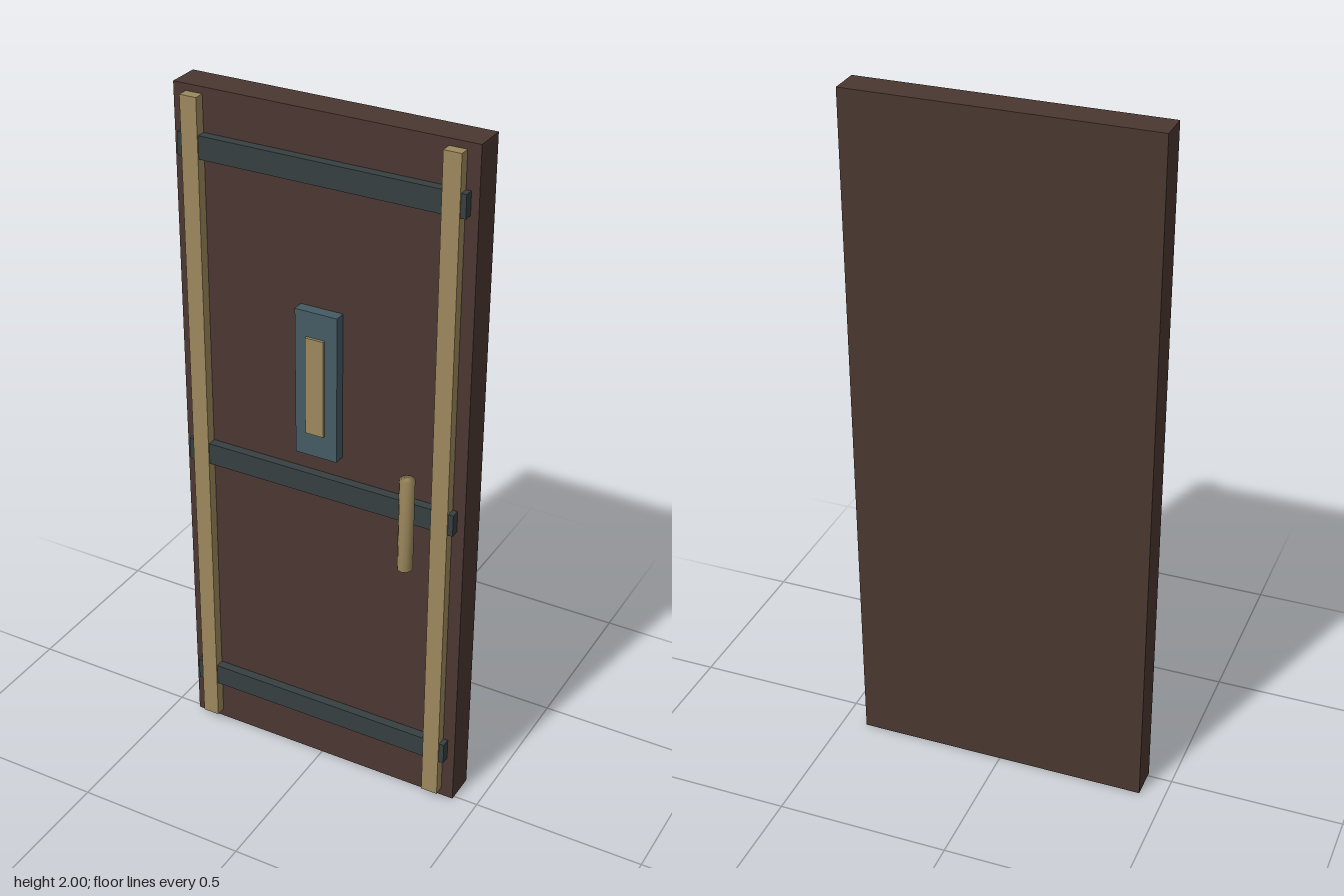
import * as THREE from 'three';
import { mergeVertices } from 'three/addons/utils/BufferGeometryUtils.js';

const material = (name, color) => {
  const m = new THREE.MeshStandardMaterial({ color });
  m.name = name;
  return m;
};

export function createModel() {
  const door = new THREE.Group();
  door.name = 'door';

  const wood = material('darkWood', 0x4a3730);
  const iron = material('darkIron', 0x373f41);
  const steel = material('blueSteel', 0x455a63);
  const brass = material('brass', 0x9c885c);

  const add = (name, geometry, mat, x, y, z) => {
    const mesh = new THREE.Mesh(geometry, mat);
    mesh.name = name;
    mesh.position.set(x, y, z);
    door.add(mesh);
  };

  // Box given by its centre in x and y, and its back and front in z
  const block = (name, mat, x, y, w, h, back, front) =>
    add(name, new THREE.BoxGeometry(w, h, front - back), mat, x, y, (back + front) / 2);

  const face = 0.011; // front surface of the slab

  block('slab', wood, 0, 1, 0.856, 2, -0.081, face);

  // Horizontal straps
  [['lower', 0.174], ['middle', 0.943], ['upper', 1.847]].forEach(([place, y]) =>
    block(place + 'Strap', iron, 0, y, 0.812, 0.064, face, 0.037));

  // Vertical trim rails
  [['right', -1], ['left', 1]].forEach(([side, s]) =>
    block(side + 'Rail', brass, s * 0.367, 1.003, 0.049, 1.956, face, 0.041));

  // Viewing panel with its raised insert
  block('viewPanel', steel, 0, 1.252, 0.124, 0.428, face, 0.043);
  block('viewInsert', brass, 0, 1.252, 0.054, 0.284, 0.045, 0.053);

  // Upright handle, shaded smoothly across its caps
  const bar = new THREE.CylinderGeometry(0.0215, 0.0215, 0.28, 10);
  bar.deleteAttribute('uv');
  bar.deleteAttribute('normal');
  const handle = mergeVertices(bar);
  handle.computeVertexNormals();
  add('handle', handle, brass, 0.28, 0.921, 0.058);

  return door;
}
